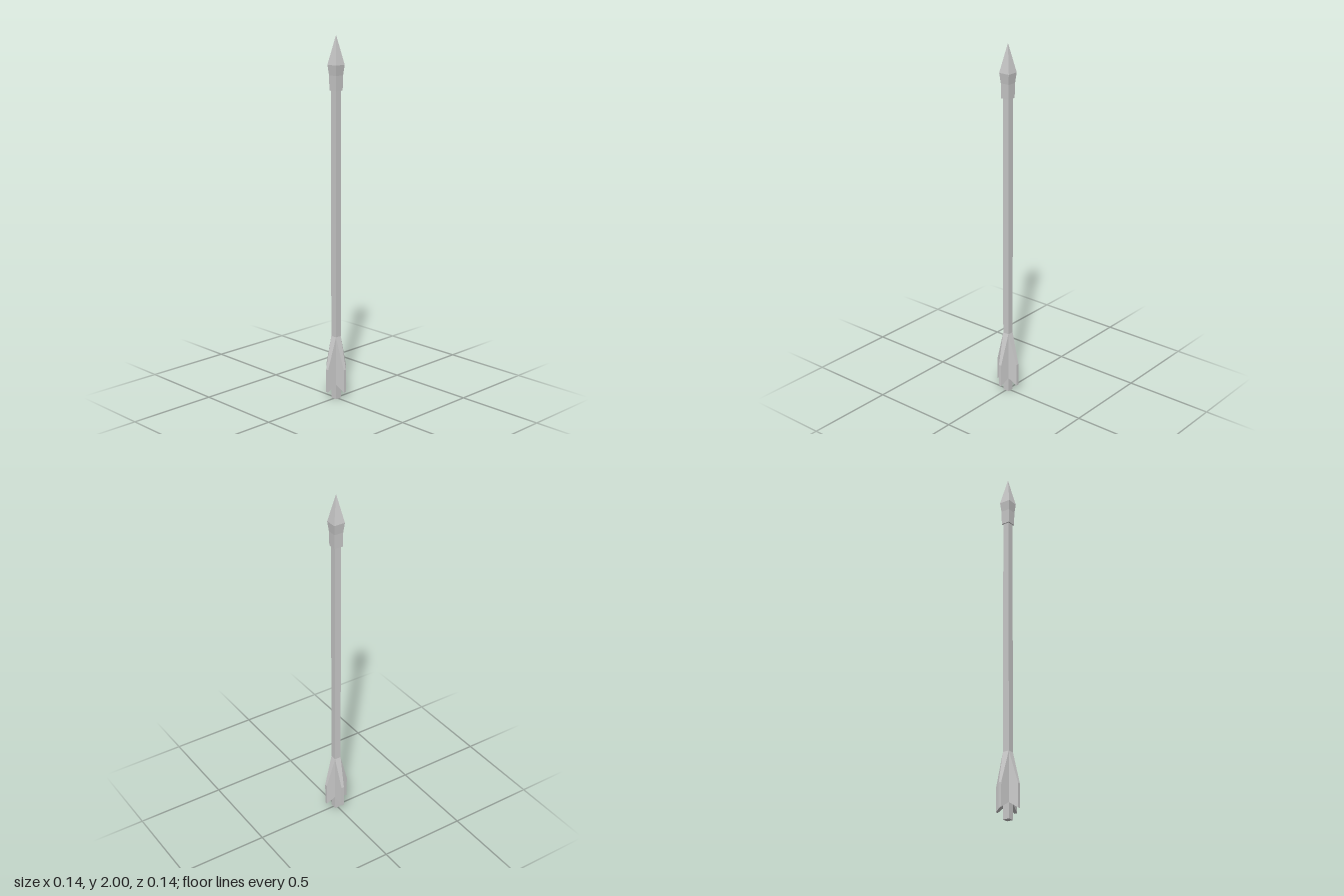
import * as THREE from 'three';

const SHAFT = 0.0185; // half width of the square shaft

const material = new THREE.MeshStandardMaterial({ color: 0xcccccc, flatShading: true });

function addMesh(parent, name, geometry) {
  const mesh = new THREE.Mesh(geometry, material);
  mesh.name = name;
  parent.add(mesh);
  return mesh;
}

// Square-section solid from [half width, y] rings, listed bottom to top
function squareProfile(rings) {
  const points = rings.map(([half, y]) => new THREE.Vector2(half * Math.SQRT2, y));
  return new THREE.LatheGeometry(points, 4, Math.PI / 4);
}

// Wedge-shaped fin pointing along +x: thick at the shaft, thin at the outer edge
function finGeometry() {
  const geometry = new THREE.BoxGeometry(2, 2, 2);
  const p = geometry.attributes.position;
  for (let i = 0; i < p.count; i++) {
    const outer = p.getX(i) > 0;
    const top = p.getY(i) > 0;
    const y = outer ? (top ? 0.18 : 0.05) : (top ? 0.36 : 0.085);
    p.setXYZ(i, outer ? 0.069 : SHAFT, y, Math.sign(p.getZ(i)) * (outer ? 0.008 : SHAFT));
  }
  geometry.computeVertexNormals();
  return geometry;
}

export function createModel() {
  const arrow = new THREE.Group();
  arrow.name = 'arrow';

  // Shaft, running up into the head
  addMesh(arrow, 'shaft', squareProfile([[0, 0], [SHAFT, 0], [SHAFT, 1.75], [0, 1.75]]));

  // Head: socket, flare and four-sided point
  addMesh(arrow, 'head', squareProfile([[0, 1.71], [0.0245, 1.71], [0.026, 1.79], [0.032, 1.845], [0, 2]]));

  // Four fins around the tail
  const fins = new THREE.Group();
  fins.name = 'fletching';
  const fin = finGeometry();
  for (let i = 0; i < 4; i++) {
    addMesh(fins, `fin${i + 1}`, fin).rotation.y = i * Math.PI / 2;
  }
  arrow.add(fins);

  return arrow;
}
